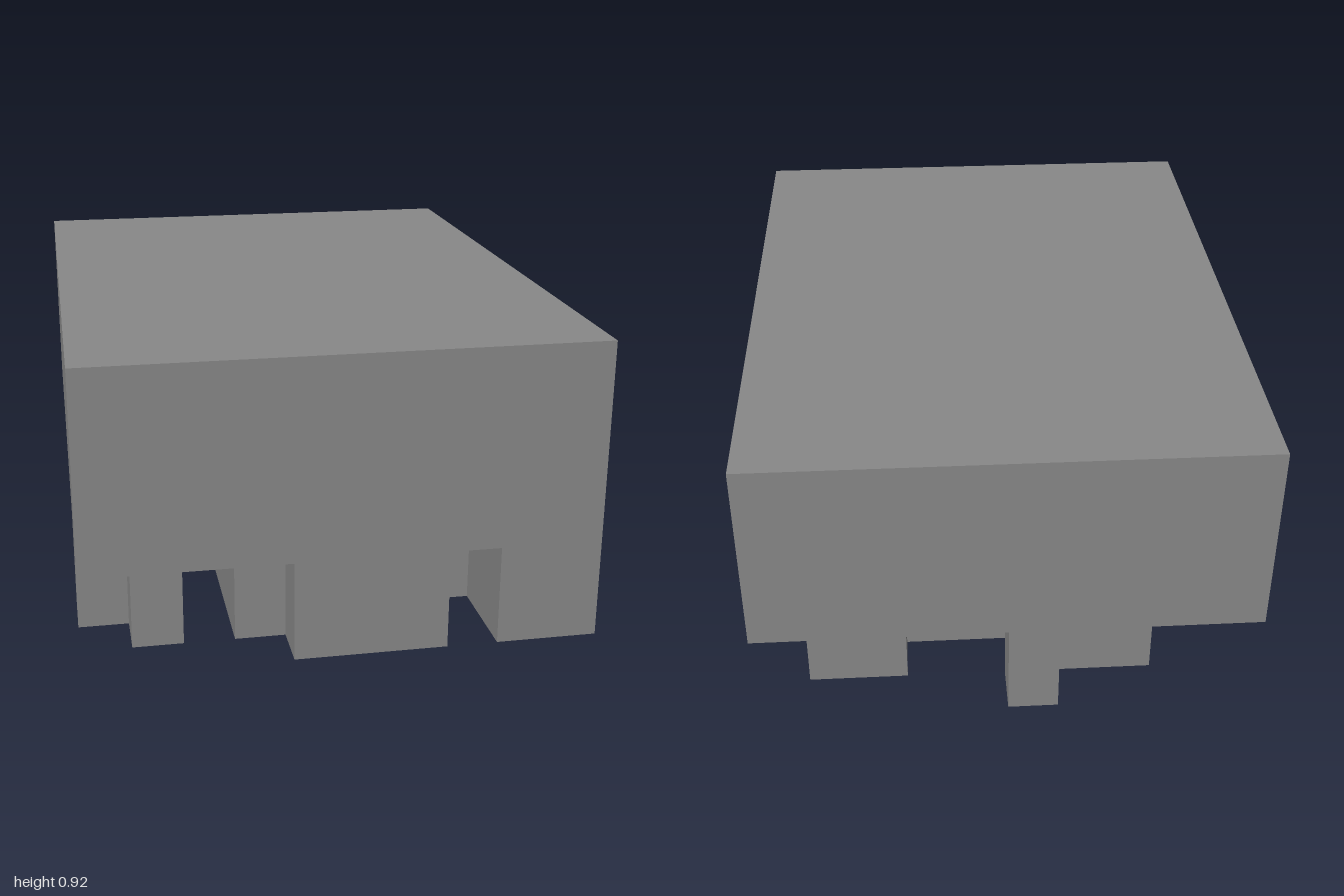
import * as THREE from 'three';

// Everything sits on a grid of 10 x 6 x 13 cells.
const U = 2 / 13;

export function createModel() {
  const model = new THREE.Group();
  const grey = new THREE.MeshStandardMaterial({ color: 0x888888 });
  grey.name = 'grey';

  // Vertical prism; outline corners are [cells from the +x side, cells from the back].
  function prism(name, corners, bottom, top) {
    const points = corners.map(([a, b]) => new THREE.Vector2((5 - a) * U, (6.5 - b) * U));
    const geometry = new THREE.ExtrudeGeometry(new THREE.Shape(points), {
      depth: (top - bottom) * U, bevelEnabled: false,
    });
    geometry.rotateX(-Math.PI / 2).translate(0, bottom * U, 0);
    const mesh = new THREE.Mesh(geometry, grey);
    mesh.name = name;
    model.add(mesh);
  }
  const rect = (a0, a1, b0, b1) => [[a0, b0], [a1, b0], [a1, b1], [a0, b1]];

  // Large upper block
  prism('body', rect(0, 10, 0, 13), 2, 6);

  // Stepped base under the block
  prism('base', [
    [1, 1], [3, 1], [3, 2], [6, 2], [6, 1], [8, 1], [8, 2], [7, 2],
    [7, 12], [6, 12], [6, 13], [3, 13], [3, 11], [2, 11], [2, 9], [1, 9],
  ], 0, 2);

  // Legs
  prism('frontLeftLeg', rect(0, 2, 11, 13), 0, 2);
  prism('frontRightLeg', [[8, 10], [10, 10], [10, 11], [9, 11], [9, 12], [8, 12]], 0, 2);
  prism('backLeg', rect(5, 6, 0, 1), 0, 2);

  // Half-height ledges along the sides of the base
  prism('leftLedge', rect(0, 1, 2, 9), 1, 2);
  prism('rightLedge', rect(7, 8, 2, 10), 1, 2);

  return model;
}
